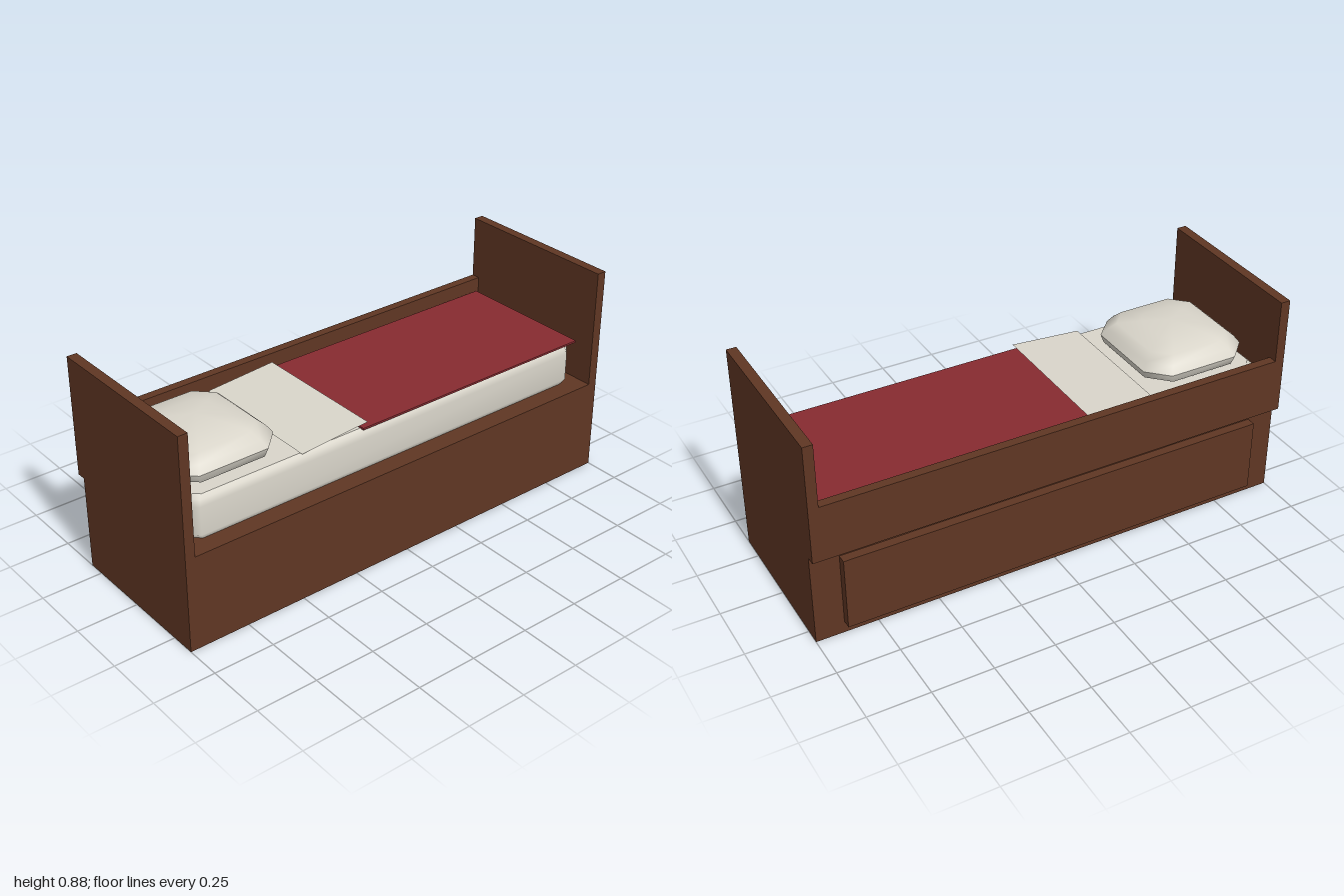
import * as THREE from 'three';

const mat = (name, color, double) => {
  const m = new THREE.MeshStandardMaterial({ color });
  m.name = name;
  if (double) m.side = THREE.DoubleSide;
  return m;
};

// Stacked chamfered rectangles: each ring is [y, halfX, halfZ, chamfer]
function loftRings(rings, { top, bottom } = {}) {
  const pos = [], idx = [];
  for (const [y, hx, hz, c] of rings) {
    const corners = [[hx, hz - c], [hx - c, hz], [c - hx, hz], [-hx, hz - c],
      [-hx, c - hz], [c - hx, -hz], [hx - c, -hz], [hx, c - hz]];
    for (const [x, z] of corners) pos.push(x, y, z);
  }
  for (let i = 0; i < rings.length - 1; i++) {
    for (let j = 0; j < 8; j++) {
      const a = i * 8 + j, b = i * 8 + (j + 1) % 8;
      idx.push(a, a + 8, b, b, a + 8, b + 8);
    }
  }
  const cap = (y, start, up) => {
    const centre = pos.length / 3;
    pos.push(0, y, 0);
    for (let j = 0; j < 8; j++) {
      const a = start + j, b = start + (j + 1) % 8;
      if (up) idx.push(centre, b, a);
      else idx.push(centre, a, b);
    }
  };
  if (top !== undefined) cap(top, (rings.length - 1) * 8, true);
  if (bottom !== undefined) cap(bottom, 0, false);
  const g = new THREE.BufferGeometry();
  g.setAttribute('position', new THREE.Float32BufferAttribute(pos, 3));
  g.setIndex(idx);
  g.computeVertexNormals();
  return g;
}

export function createModel() {
  const bed = new THREE.Group();
  bed.name = 'bed';
  const wood = mat('dark wood', 0x5f3623, true);
  const linen = mat('linen', 0xd9d5ca, true);
  const red = mat('red blanket', 0x862b30);

  const add = (name, geometry, material, x = 0, y = 0, z = 0) => {
    const m = new THREE.Mesh(geometry, material);
    m.name = name;
    m.position.set(x, y, z);
    bed.add(m);
    return m;
  };
  // Box given by its lower and upper corners
  const box = (name, material, [x0, y0, z0], [x1, y1, z1]) =>
    add(name, new THREE.BoxGeometry(x1 - x0, y1 - y0, z1 - z0), material,
      (x0 + x1) / 2, (y0 + y1) / 2, (z0 + z1) / 2);

  // Base: hollow shell, open underneath
  const base = box('base', wood, [-1, 0, -0.316], [1, 0.39, 0.353]).geometry;
  const kept = Array.from(base.index.array).filter((_, i) => i < 18 || i >= 24);
  base.clearGroups();
  base.setIndex(kept);

  // Upright boards and drawer
  box('headboard', wood, [-1, 0.39, -0.353], [-0.96, 0.883, 0.353]);
  box('footboard', wood, [0.96, 0.39, -0.353], [1, 0.883, 0.353]);
  box('backRail', wood, [-0.96, 0.39, -0.353], [0.96, 0.622, -0.316]);
  box('drawerFront', wood, [-0.885, 0.05, -0.353], [0.885, 0.355, -0.316]);

  // Mattress: soft sides with a flat top
  const ring = (y, inset) => [y, 0.946 - inset, 0.295 - inset, 0.06];
  add('mattressSides', loftRings([ring(0.391, 0.014), ring(0.415, 0), ring(0.53, 0),
    ring(0.555, 0.006), ring(0.568, 0.02)]), linen, -0.003, 0, -0.004);
  add('mattressTop', loftRings([ring(0.568, 0.02)], { top: 0.568 }), linen, -0.003, 0, -0.004);

  // Blanket and the turned-down sheet, which rises towards the blanket
  box('blanket', red, [-0.17, 0.567, -0.297], [0.93, 0.575, 0.29]);
  const sheet = new THREE.PlaneGeometry(0.3, 0.587).rotateX(-Math.PI / 2);
  const p = sheet.attributes.position;
  for (let i = 0; i < p.count; i++) p.setY(i, p.getX(i) < 0 ? 0.573 : 0.596);
  sheet.computeVertexNormals();
  add('foldedSheet', sheet, linen, -0.3, 0, -0.0035);

  // Pillow: undercut rim, then a soft dome
  add('pillowRim', loftRings([[0.574, 0.2, 0.215, 0.075], [0.582, 0.215, 0.23, 0.08],
    [0.615, 0.226, 0.238, 0.08]], { bottom: 0.574 }), linen, -0.705, 0, 0);
  add('pillowDome', loftRings([[0.615, 0.226, 0.238, 0.08], [0.645, 0.205, 0.217, 0.075],
    [0.673, 0.175, 0.187, 0.065], [0.69, 0.1, 0.107, 0.038]], { top: 0.705 }), linen, -0.705, 0, 0);

  return bed;
}
